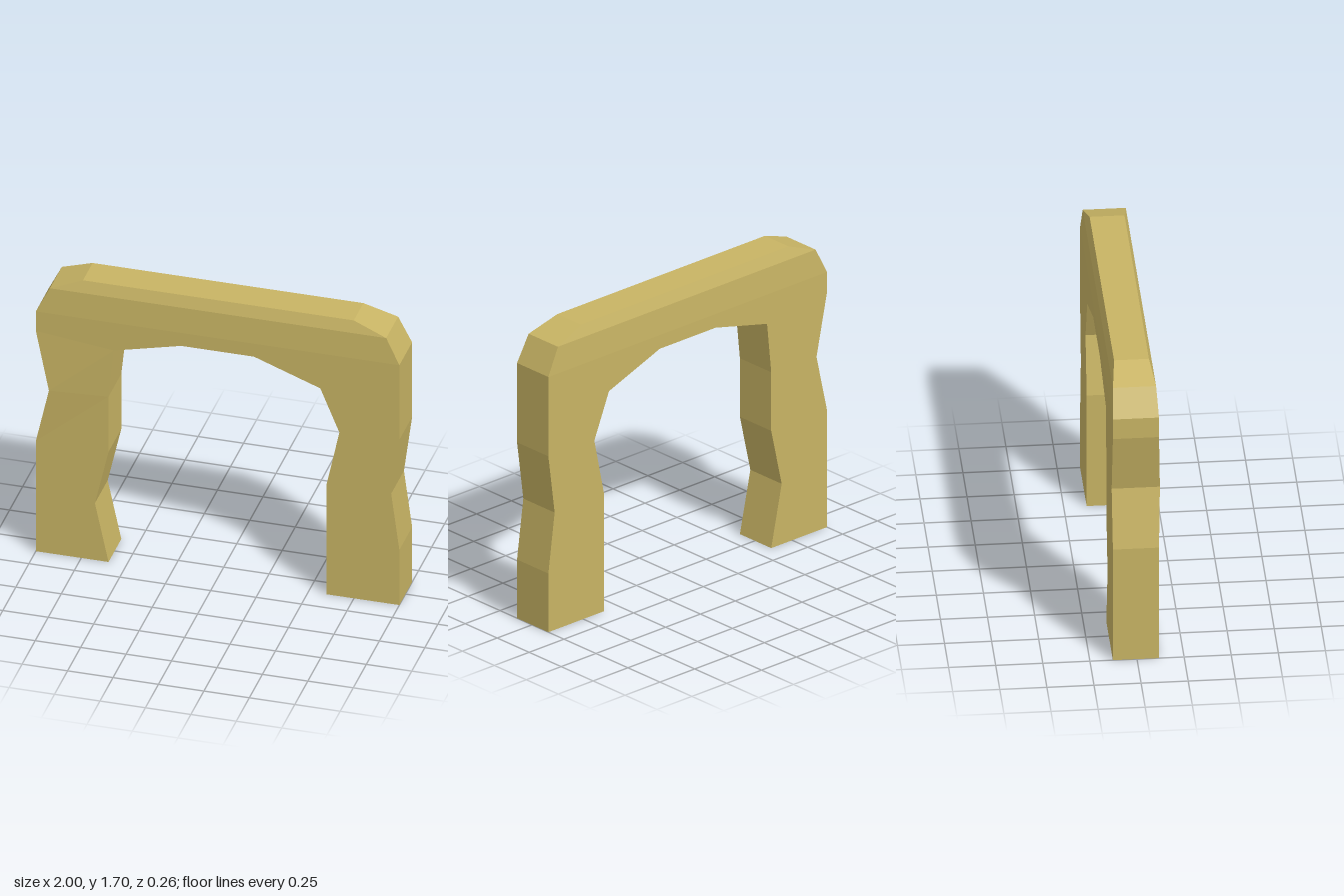
import * as THREE from 'three';

// Corners of the arch, going counter-clockwise around the front face
const P = {
  a0: [-1, 0], b0: [-0.6, 0], b1: [-0.675, 0.35], b2: [-0.6, 0.68], b3: [-0.6, 1.02],
  b4: [-0.57, 1.31], b5: [-0.2, 1.4], c5: [0.2, 1.4], c4: [0.565, 1.265], c3: [0.67, 1.01],
  c2: [0.6, 0.68], c1: [0.6, 0.34], c0: [0.6, 0], d0: [1, 0], d1: [1, 0.34], d2: [0.955, 0.68],
  d3: [1, 1.02], d5: [1, 1.48], d6: [0.925, 1.63], d7: [0.74, 1.695],
  a7: [-0.75, 1.695], a6: [-0.925, 1.63], a5: [-1, 1.48], a4: [-1, 1.36],
  a3: [-0.925, 1.01], a2: [-1, 0.68], a1: [-1, 0.34],
};

// Flat patches that make up the front and back faces
const PATCHES = [
  // post on the -x side
  'a0 b0 b1 a1', 'a1 b1 b2 a2', 'a2 b2 b3 a3', 'a3 b3 b4 a4',
  // post on the +x side
  'c0 d0 d1 c1', 'c1 d1 d2 c2', 'c2 d2 d3 c3',
  // lintel and its two bevel bands
  'a4 b4 b5 c5 c4 c3 d3 d5 a5', 'a5 d5 d6 a6', 'a6 d6 d7 a7',
];

// Depth narrows towards the top; one corner bulges forward
function depth(name, front) {
  if (name === 'a3' && front) return 0.128;
  const y = P[name][1];
  if (y > 1.65) return front ? 0.085 : -0.1;
  if (y > 1.6) return front ? 0.108 : -0.121;
  return front ? 0.117 : -0.128;
}

export function createModel() {
  const positions = [];
  const corner = (name, front) => [...P[name], depth(name, front)];
  const triangle = (...corners) => corners.forEach((c) => positions.push(...c));

  // Front and back faces
  for (const patch of PATCHES) {
    const names = patch.split(' ');
    const contour = names.map((n) => new THREE.Vector2(...P[n]));
    for (const [i, j, k] of THREE.ShapeUtils.triangulateShape(contour, [])) {
      triangle(corner(names[i], true), corner(names[j], true), corner(names[k], true));
      triangle(corner(names[i], false), corner(names[k], false), corner(names[j], false));
    }
  }

  // Rim: outer sides, top, soles and the inside of the opening
  const rim = Object.keys(P);
  rim.forEach((n, i) => {
    const m = rim[(i + 1) % rim.length];
    triangle(corner(n, true), corner(n, false), corner(m, false));
    triangle(corner(n, true), corner(m, false), corner(m, true));
  });

  const geometry = new THREE.BufferGeometry();
  geometry.setAttribute('position', new THREE.Float32BufferAttribute(positions, 3));
  geometry.computeVertexNormals();

  const arch = new THREE.Mesh(
    geometry,
    new THREE.MeshStandardMaterial({ color: 0xc8b464, flatShading: true }),
  );
  arch.name = 'stoneArch';

  const group = new THREE.Group();
  group.name = 'archway';
  group.add(arch);
  return group;
}
